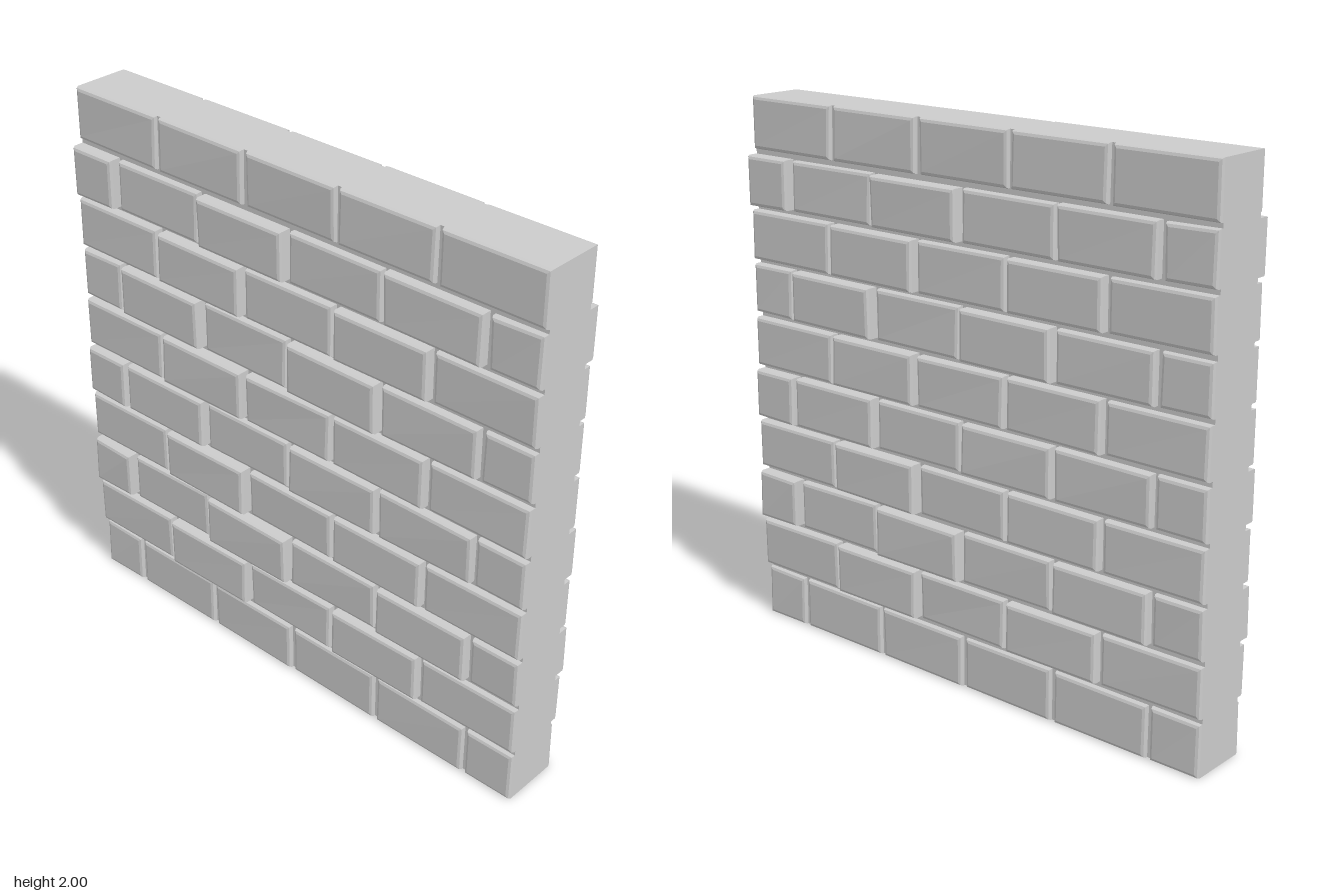
import * as THREE from 'three';

const CORE = 0.1;      // half thickness of the mortar slab
const GAP = 0.007;     // half width of a joint
const BEVEL = 0.013;

// How far each brick face stands out, per course from the bottom, left to right
const COURSES = [
  [0.12, 0.12, 0.122, 0.12, 0.122, 0.12],
  [0.135, 0.15, 0.13, 0.14, 0.125],
  [0.152, 0.13, 0.152, 0.13, 0.14, 0.125],
  [0.14, 0.152, 0.13, 0.14, 0.13],
  [0.152, 0.15, 0.13, 0.142, 0.135, 0.125],
  [0.14, 0.152, 0.14, 0.142, 0.13],
  [0.135, 0.152, 0.13, 0.15, 0.135, 0.125],
  [0.14, 0.152, 0.132, 0.142, 0.128],
  [0.152, 0.13, 0.152, 0.13, 0.14, 0.125],
  [0.12, 0.122, 0.12, 0.122, 0.12],
];

function seeded(seed) {
  return () => {
    seed = (seed * 16807) % 2147483647;
    return seed / 2147483647;
  };
}

// A hewn brick: four-cornered rings from the slab out to a slightly uneven, bevelled face
function brickGeometry(x0, x1, y0, y1, depth, rand) {
  const corners = [[0, 0], [1, 0], [1, 1], [0, 1]].map(([u, v]) => {
    const x = u ? x1 : x0, y = v ? y1 : y0;
    const sx = u ? -1 : 1, sy = v ? -1 : 1;
    const insetX = Math.abs(x) > 0.999 ? 0 : GAP + rand() * 0.004;
    const insetY = y < 0.001 || y > 1.999 ? 0 : GAP + rand() * 0.004;
    return { x: x + sx * insetX, y: y + sy * insetY, sx, sy, z: depth - rand() * 0.005 };
  });
  const ring = (inset, drop) => corners.map(c =>
    [c.x + c.sx * inset, c.y + c.sy * inset, drop === null ? CORE : Math.max(CORE, c.z - drop)]);
  const rings = [ring(0, null), ring(0, BEVEL), ring(BEVEL * 0.3, BEVEL * 0.3), ring(BEVEL, 0)];
  const positions = [];
  const quad = (a, b, c, d) => positions.push(...a, ...b, ...c, ...a, ...c, ...d);
  for (let r = 0; r < rings.length - 1; r++) {
    for (let i = 0; i < 4; i++) {
      const j = (i + 1) % 4;
      quad(rings[r][i], rings[r][j], rings[r + 1][j], rings[r + 1][i]);
    }
  }
  quad(...rings[3]);
  const geometry = new THREE.BufferGeometry();
  geometry.setAttribute('position', new THREE.Float32BufferAttribute(positions, 3));
  geometry.computeVertexNormals();
  return geometry;
}

function brickFace(material) {
  const face = new THREE.Group();
  const rand = seeded(4217);
  COURSES.forEach((depths, row) => {
    // Even courses start and finish with a half brick
    const shift = row % 2 === 0 ? 0.2 : 0;
    depths.forEach((depth, i) => {
      const x0 = Math.max(-1, -1 + i * 0.4 - shift);
      const x1 = Math.min(1, -1 + (i + 1) * 0.4 - shift);
      const brick = new THREE.Mesh(
        brickGeometry(x0, x1, row * 0.2, row * 0.2 + 0.2, depth, rand), material);
      brick.name = 'brick';
      face.add(brick);
    });
  });
  return face;
}

export function createModel() {
  const wall = new THREE.Group();
  wall.name = 'brickWall';
  const material = new THREE.MeshStandardMaterial({ color: 0xcccccc, flatShading: true });

  // Mortar slab filling the middle of the wall
  const slab = new THREE.Mesh(new THREE.BoxGeometry(2, 2, CORE * 2), material);
  slab.name = 'mortarSlab';
  slab.position.y = 1;
  wall.add(slab);

  // Matching brickwork on both sides, the back turned half round
  const front = brickFace(material);
  front.name = 'frontBricks';
  const back = brickFace(material);
  back.name = 'backBricks';
  back.rotation.y = Math.PI;
  wall.add(front, back);
  return wall;
}
